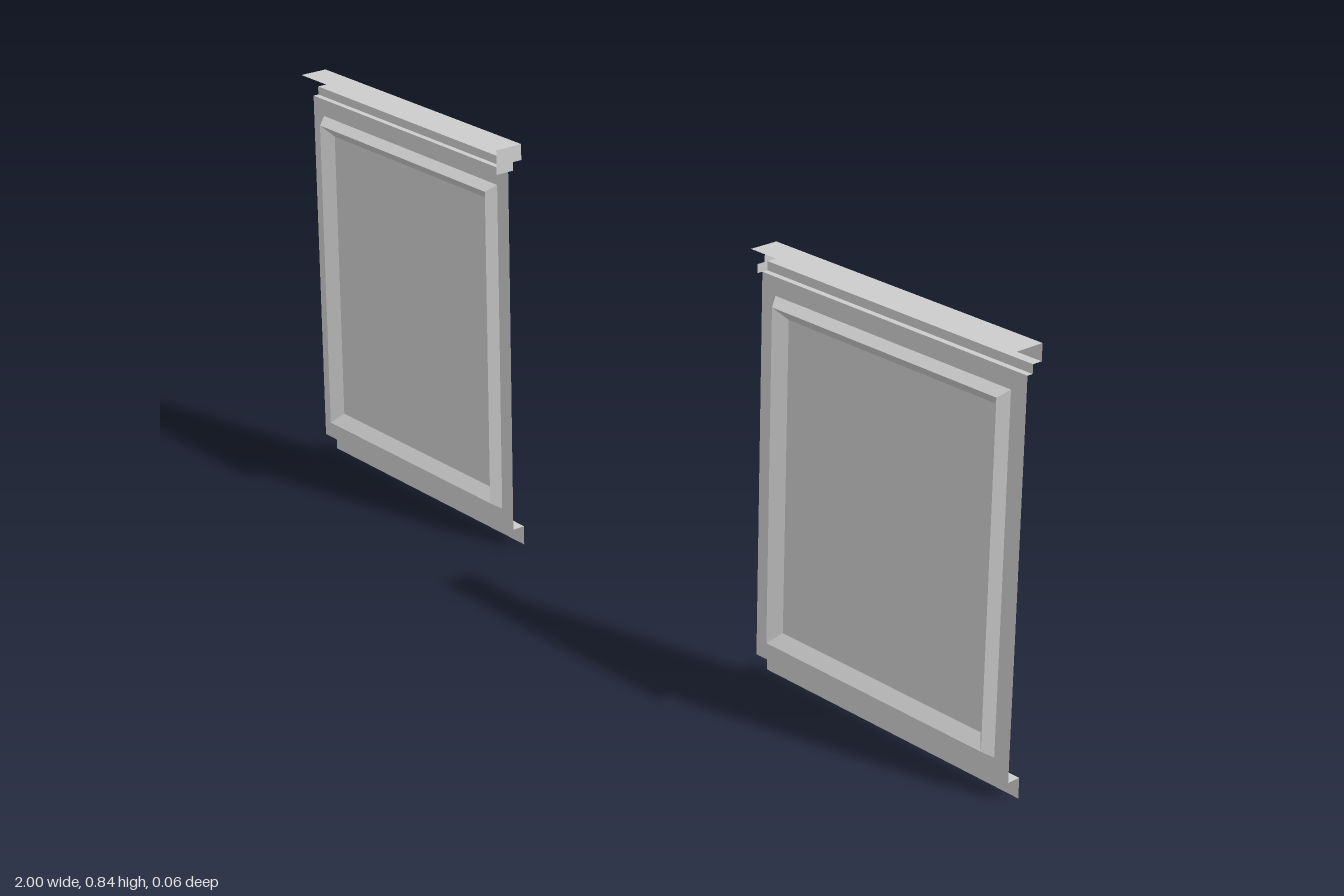
import * as THREE from 'three';

const material = new THREE.MeshStandardMaterial({ color: 0xcccccc, flatShading: true, side: THREE.DoubleSide });
const CENTRE = 0.68, HALF = 0.32;

function addMesh(parent, name, geometry) {
  const mesh = new THREE.Mesh(geometry, material);
  mesh.name = name;
  parent.add(mesh);
  return mesh;
}

// Joins successive rows of points with quads
function loft(rows) {
  const points = [];
  for (let i = 0; i < rows.length - 1; i++) {
    for (let j = 0; j < rows[i].length - 1; j++) {
      const a = rows[i][j], b = rows[i][j + 1], c = rows[i + 1][j + 1], d = rows[i + 1][j];
      points.push(...a, ...b, ...c, ...a, ...c, ...d);
    }
  }
  const geometry = new THREE.BufferGeometry();
  geometry.setAttribute('position', new THREE.Float32BufferAttribute(points, 3));
  geometry.computeVertexNormals();
  return geometry;
}

// Sweeps an open [z, y] profile across the width of a panel
const sweep = (profile) => loft(profile.map(([z, y]) => [[-HALF, y, z], [HALF, y, z]]));

// Corners of the moulding rectangle, moved inwards by inset
function corners(inset) {
  const x = 0.285 - inset, low = 0.074 + inset, high = 0.752 - inset;
  return [[-x, low], [x, low], [x, high], [-x, high]];
}

const toShape = (pts) => new THREE.Shape(pts.map(([x, y]) => new THREE.Vector2(x, y)));

// Stepped back of the cornice, from the wall sheet up to the top
const steps = [[0, 0.787], [-0.012, 0.787], [-0.012, 0.804], [-0.032, 0.804], [-0.032, 0.836]];

function createPanel(side) {
  const panel = new THREE.Group();
  panel.name = side > 0 ? 'leftPanel' : 'rightPanel';
  panel.position.x = side * CENTRE;

  // Flat border around the moulding
  const border = toShape([[-HALF, 0.04], [HALF, 0.04], [HALF, 0.787], [-HALF, 0.787]]);
  border.holes.push(toShape(corners(0)));
  addMesh(panel, 'border', new THREE.ShapeGeometry(border));

  // Raised moulding: short outer slope, wider inner slope
  const loops = [[0, 0], [0.013, 0.02], [0.035, 0]].map(([inset, z]) => {
    const loop = corners(inset).map(([x, y]) => [x, y, z]);
    return [...loop, loop[0]];
  });
  addMesh(panel, 'moulding', loft(loops));
  addMesh(panel, 'infill', new THREE.ShapeGeometry(toShape(corners(0.035))));

  // Cornice and plinth, both stepping out to the back
  addMesh(panel, 'cornice', sweep([...steps, [0.028, 0.836]]));
  addMesh(panel, 'plinth', sweep([[0, 0.04], [-0.027, 0.04], [-0.027, 0]]));

  // Cap on the inner end of the cornice
  const front = side > 0
    ? [[-0.005, 0.836], [-0.005, 0.804], [0.012, 0.804], [0.012, 0.787]]
    : [[0.028, 0.836], [0.028, 0.787]];
  const cap = addMesh(panel, 'corniceEnd', new THREE.ShapeGeometry(toShape([...steps.slice(1), ...front])));
  cap.rotation.y = -Math.PI / 2;
  cap.position.x = -side * HALF;
  return panel;
}

export function createModel() {
  const model = new THREE.Group();
  model.name = 'wallPanels';
  for (const side of [-1, 1]) model.add(createPanel(side));
  return model;
}
